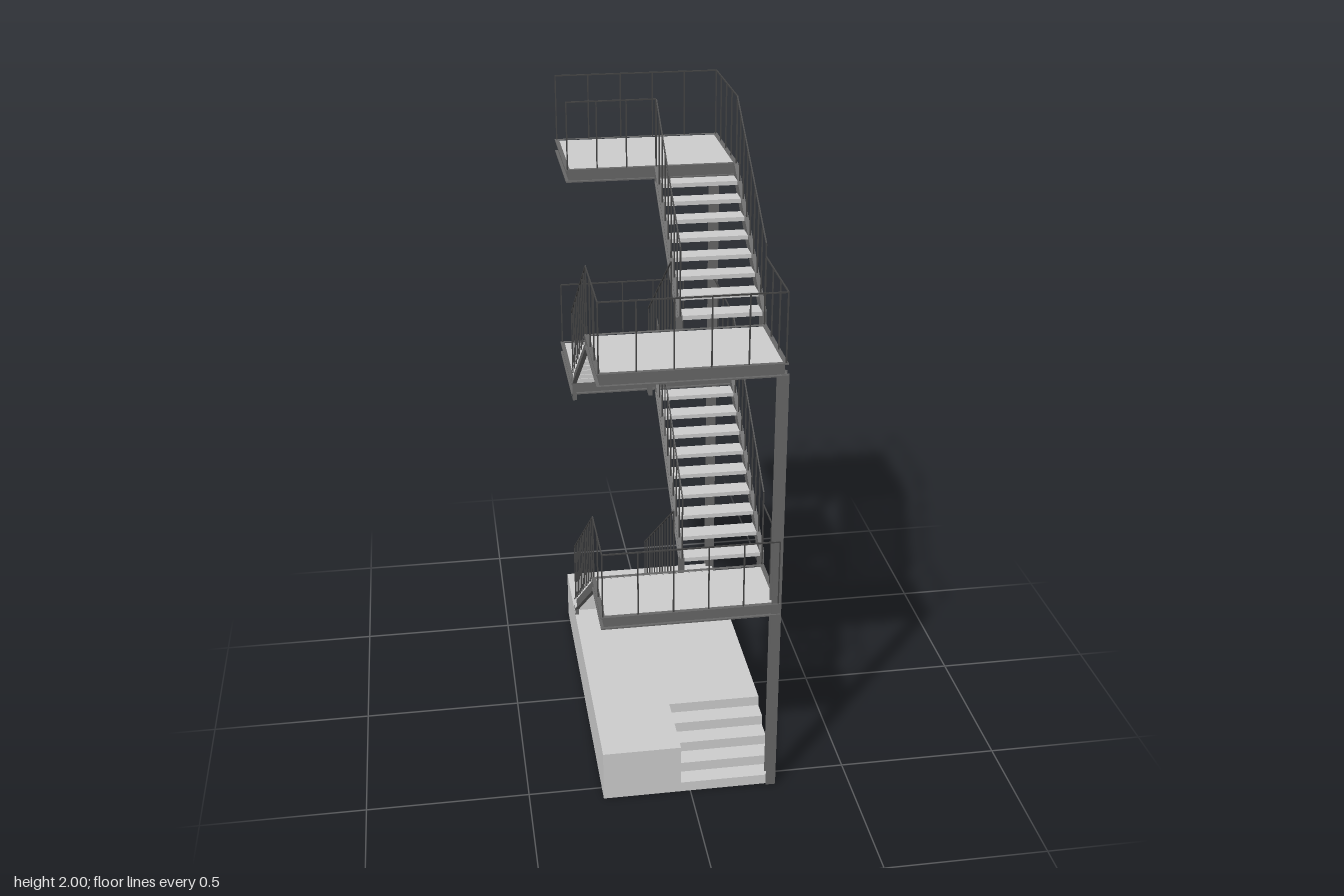
import * as THREE from 'three';

const mat = (color) => new THREE.MeshStandardMaterial({ color, flatShading: true });
const concrete = mat(0xcccccc), steel = mat(0x666666), railSteel = mat(0x444444);

const XL = -0.272, XR = 0.265;   // platform sides
const W = 0.013, T = 0.004;      // channel flange width and plate thickness
const H = 0.04, RAIL = 0.208;    // platform depth and railing height

function add(parent, name, geometry, material) {
  const mesh = new THREE.Mesh(geometry, material);
  mesh.name = name;
  parent.add(mesh);
  return mesh;
}

// Box given by its limits
function block(parent, name, material, x0, x1, y0, y1, z0, z1) {
  const mesh = add(parent, name, new THREE.BoxGeometry(x1 - x0, y1 - y0, z1 - z0), material);
  mesh.position.set((x0 + x1) / 2, (y0 + y1) / 2, (z0 + z1) / 2);
  return mesh;
}

const shapeOf = (pts) => new THREE.Shape(pts.map(([a, b]) => new THREE.Vector2(a, b)));

// Extrude a (z, y) outline across x from x0 to x1
function extrudeX(parent, name, shape, material, x0, x1) {
  const geo = new THREE.ExtrudeGeometry(shape, { depth: x1 - x0, bevelEnabled: false });
  geo.rotateY(-Math.PI / 2);
  geo.translate(x1, 0, 0);
  return add(parent, name, geo, material);
}

// Thin square bar between two points
function bar(parent, name, a, b, size = 0.004) {
  const mesh = add(parent, name, new THREE.BoxGeometry(size, size, a.distanceTo(b)), railSteel);
  mesh.position.copy(a).add(b).multiplyScalar(0.5);
  mesh.lookAt(b);
  return mesh;
}

// Railing over a floor-level path, with evenly spaced posts
function railing(parent, name, path, spacing) {
  const group = new THREE.Group();
  group.name = name;
  const up = new THREE.Vector3(0, RAIL, 0);
  const pts = path.map((p) => new THREE.Vector3(...p));
  const post = (p) => bar(group, 'post', p, p.clone().add(up));
  post(pts[0]);
  for (let i = 1; i < pts.length; i++) {
    const a = pts[i - 1], b = pts[i];
    bar(group, 'topRail', a.clone().add(up), b.clone().add(up));
    const n = Math.max(1, Math.round(a.distanceTo(b) / spacing));
    for (let k = 1; k <= n; k++) post(a.clone().lerp(b, k / n));
  }
  parent.add(group);
}

// Flat rectangular ring
function ring(parent, name, x0, x1, z0, z1, inset, width, y, height) {
  const rect = (i) => [[x0 + i, -z0 - i], [x1 - i, -z0 - i], [x1 - i, -z1 + i], [x0 + i, -z1 + i]];
  const shape = shapeOf(rect(inset));
  shape.holes.push(shapeOf(rect(inset + width)));
  const geo = new THREE.ExtrudeGeometry(shape, { depth: height, bevelEnabled: false });
  geo.rotateX(-Math.PI / 2);
  geo.translate(0, y, 0);
  add(parent, name, geo, steel);
}

// Landing: deck plate in a frame of outward-facing channels
function platform(parent, name, y, z0, z1) {
  const group = new THREE.Group();
  group.name = name;
  ring(group, 'topFlange', XL, XR, z0, z1, 0, W, y - T, T);
  ring(group, 'bottomFlange', XL, XR, z0, z1, 0, W, y - H, T);
  ring(group, 'frameWeb', XL, XR, z0, z1, W - T, T, y - H + T, H - 2 * T);
  block(group, 'deck', concrete, XL + W, XR - W, y - 0.014, y - 0.002, z0 + W, z1 - W);
  parent.add(group);
  return group;
}

// Stair flight: two channel stringers, open treads, two railings
function flight(parent, name, x0, x1, y0, y1, z0, z1, risers, foot) {
  const group = new THREE.Group();
  group.name = name;
  const dir = Math.sign(z1 - z0), length = Math.abs(z1 - z0);
  const rise = (y1 - y0) / risers, run = length / (risers - 1), slope = rise / run;
  const depth = 0.049, footWidth = 0.042;
  const outline = (i) => {
    const top = (u) => rise + slope * u - 1.2 * i;
    const bottom = (u) => rise + slope * u - depth + 1.2 * i;
    const l = length - i, f = footWidth - i;
    return shapeOf([[i, foot + i], [i, top(i)], [l, top(l)], [l, bottom(l)], [f, bottom(f)], [f, foot + i]]
      .map(([u, v]) => [z0 + dir * u, y0 + v]));
  };
  const flanges = outline(0);
  flanges.holes.push(outline(T));
  [[x0, x0 + W - T], [x1 - W, x1 - W]].forEach(([x, webX]) => {
    extrudeX(group, 'stringerFlange', flanges, steel, x, x + W);
    extrudeX(group, 'stringerWeb', outline(T), steel, webX, webX + T);
    const rx = x + W / 2;
    railing(group, 'stairRailing', [[rx, y0 + rise, z0], [rx, y1, z1]], 0.074);
  });
  for (let k = 1; k < risers; k++) {
    const a = z0 + dir * (k - 1) * run, b = z0 + dir * k * run, y = y0 + k * rise;
    block(group, 'tread', concrete, x0 + W, x1 - W, y - 0.013, y, Math.min(a, b), Math.max(a, b));
  }
  parent.add(group);
}

// H-section column
function column(parent, name, x, z, height) {
  const group = new THREE.Group();
  group.name = name;
  const r = 0.015;
  for (const s of [-1, 1]) {
    const c = z + s * (r - T / 2);
    block(group, 'flange', steel, x - r, x + r, 0, height, c - T / 2, c + T / 2);
  }
  block(group, 'web', steel, x - T / 2, x + T / 2, 0, height, z - r + T, z + r - T);
  parent.add(group);
}

export function createModel() {
  const model = new THREE.Group();
  model.name = 'switchbackStair';

  // Plinth with entry steps cut into its front corner
  const Y = 0.165, ZB = 0.555, X1 = 0.262;
  const base = new THREE.Group();
  base.name = 'plinth';
  model.add(base);
  block(base, 'plinthBlock', concrete, XL, -0.03, 0, Y, -ZB, ZB);
  const profile = [[-ZB, 0], [ZB, 0]];
  for (let k = 0; k < 5; k++) {
    const z = k === 0 ? ZB : 0.56 - 0.06 * k;
    profile.push([z, Y * (k + 1) / 5]);
    profile.push([k === 4 ? -ZB : 0.56 - 0.06 * (k + 1), Y * (k + 1) / 5]);
  }
  extrudeX(base, 'entrySteps', shapeOf(profile), concrete, -0.03, X1);

  column(model, 'frontColumn', 0.254, 0.547, 1.4);
  column(model, 'backColumn', 0.254, -0.55, 1.755);

  // Landings, alternating front and back
  const xl = XL + 0.006, xr = XR - 0.006, zf = 0.561;
  const front = [['lowerFrontPlatform', 0.66, 0.325], ['upperFrontPlatform', 1.435, 0.265]];
  for (const [name, y, z] of front) {
    const p = platform(model, name, y, z, 0.567);
    railing(p, 'platformRailing', [[xl, y, z], [xl, y, zf], [xr, y, zf], [xr, y, z]], 0.1);
  }
  const back = [['lowerBackPlatform', 1.08], ['topPlatform', 1.79]];
  for (const [name, y] of back) {
    const p = platform(model, name, y, -0.567, -0.2);
    railing(p, 'platformRailing', [[xr, y, -0.2], [xr, y, -zf], [xl, y, -zf]], 0.1);
    if (y > 1.5) railing(p, 'edgeRailing', [[xl, y, -0.207], [0.008, y, -0.207]], 0.1);
  }

  // Flights, alternating sides
  const A = [XL, -0.012], B = [0.002, XR];
  flight(model, 'firstFlight', ...A, Y, 0.66, -0.31, 0.325, 12, 0);
  flight(model, 'secondFlight', ...B, 0.66, 1.08, 0.325, -0.2, 10, -H);
  flight(model, 'thirdFlight', ...A, 1.08, 1.435, -0.197, 0.265, 9, -H);
  flight(model, 'fourthFlight', ...B, 1.435, 1.79, 0.265, -0.2, 9, -H);

  return model;
}
